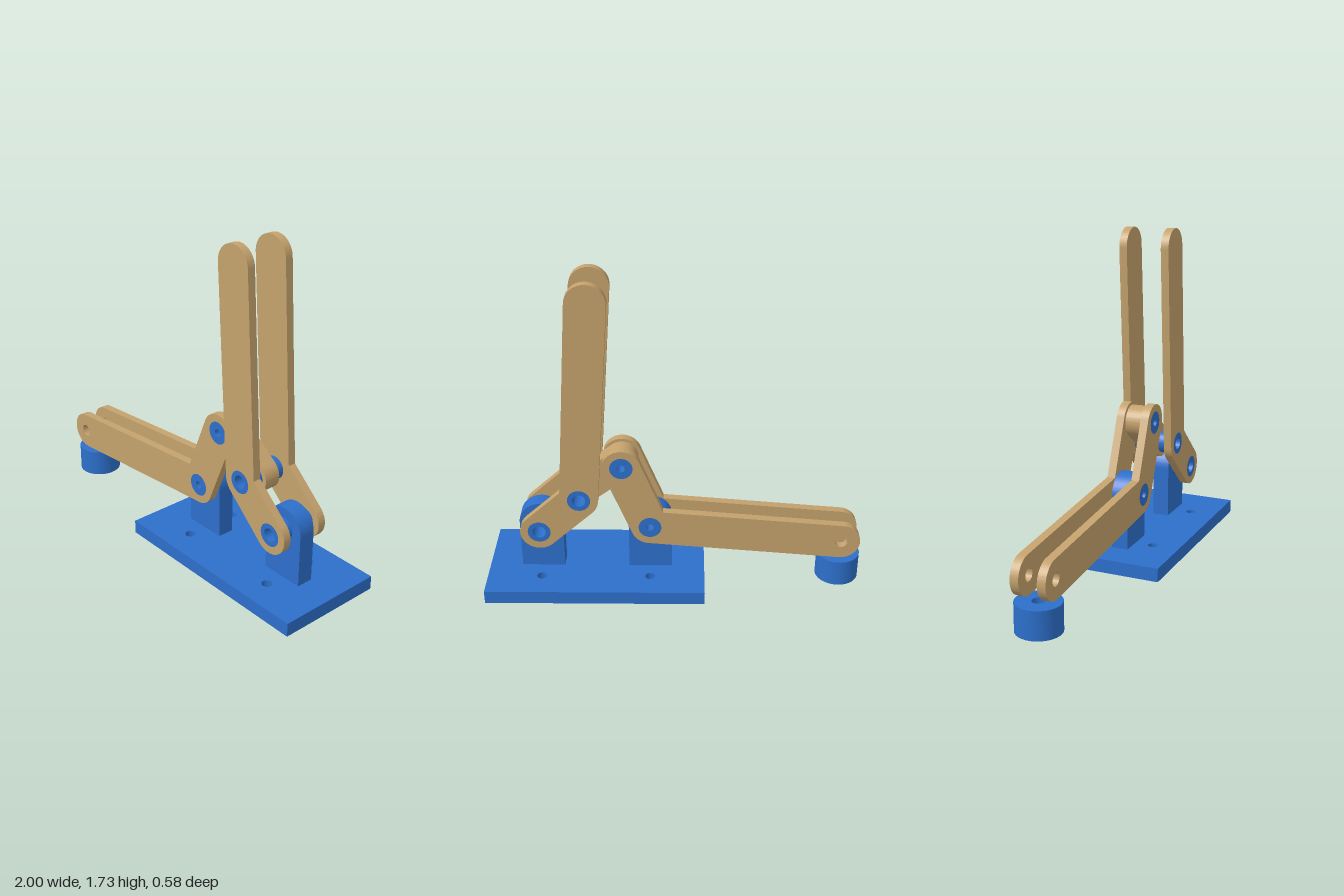
import * as THREE from 'three';
import { toCreasedNormals } from 'three/addons/utils/BufferGeometryUtils.js';

const PIN_R = 0.06;   // pin radius, also the bore of every bar
const PLATE_T = 0.073;
const POST_Z = 0.045; // half thickness of posts and link

// Pivot points in the side plane
const FOOT = [-0.885, 0.265], ELBOW = [0.13, 0.35], ARM_TOP = [0.275, 0.71];
const HANDLE_TOP = [0.42, 1.63], HANDLE_MID = [0.495, 0.545], HANDLE_BASE = [0.71, 0.35];

function addHole(shape, [x, y], r) {
  const hole = new THREE.Path();
  hole.absarc(x, y, r, 0, Math.PI * 2, true);
  shape.holes.push(hole);
}

function disc([x, y], r) {
  const s = new THREE.Shape();
  s.absarc(x, y, r, 0, Math.PI * 2, false);
  return s;
}

// Rounded bar along points that bend to the left: round outside, mitred inside
function barShape(points, r) {
  const q = Math.PI / 2;
  const angles = points.slice(1).map((p, i) => Math.atan2(p[1] - points[i][1], p[0] - points[i][0]));
  const last = points.length - 1;
  const s = new THREE.Shape();
  s.absarc(...points[0], r, angles[0] + q, angles[0] + 3 * q, false);
  for (let i = 1; i < last; i++) s.absarc(...points[i], r, angles[i - 1] - q, angles[i] - q, false);
  s.absarc(...points[last], r, angles[last - 1] - q, angles[last - 1] + q, false);
  for (let i = last - 1; i > 0; i--) {
    const mid = (angles[i - 1] + angles[i]) / 2 + q;
    const d = r / Math.cos((angles[i] - angles[i - 1]) / 2);
    s.lineTo(points[i][0] + d * Math.cos(mid), points[i][1] + d * Math.sin(mid));
  }
  s.closePath();
  return s;
}

// Extrude a shape between two depths with crisp rims and smooth round sides
function slab(shape, from, to) {
  const g = new THREE.ExtrudeGeometry(shape, { depth: to - from, bevelEnabled: false, curveSegments: 32 });
  g.translate(0, 0, from);
  return toCreasedNormals(g, 0.5);
}

export function createModel() {
  const model = new THREE.Group();
  model.name = 'toggleClamp';
  const blue = new THREE.MeshStandardMaterial({ color: 0x2d6fcb });
  blue.name = 'blue';
  const tan = new THREE.MeshStandardMaterial({ color: 0xc4a26d });
  tan.name = 'tan';

  const add = (name, geometry, material) => {
    const mesh = new THREE.Mesh(geometry, material);
    mesh.name = name;
    model.add(mesh);
    return mesh;
  };

  // Base plate with four screw holes
  const plate = new THREE.Shape();
  plate.moveTo(-0.16, -0.29);
  plate.lineTo(1, -0.29);
  plate.lineTo(1, 0.29);
  plate.lineTo(-0.16, 0.29);
  plate.closePath();
  for (const x of [ELBOW[0], HANDLE_BASE[0]])
    for (const z of [-0.145, 0.145]) addHole(plate, [x, z], 0.027);
  add('basePlate', slab(plate, 0, PLATE_T).rotateX(-Math.PI / 2), blue);

  // Round-topped posts
  const post = (name, [x, y]) => {
    const r = 0.115;
    const s = new THREE.Shape();
    s.moveTo(x - r, PLATE_T);
    s.lineTo(x + r, PLATE_T);
    s.absarc(x, y, r, 0, Math.PI, false);
    s.closePath();
    addHole(s, [x, y], PIN_R);
    add(name, slab(s, -POST_Z, POST_Z), blue);
  };
  post('armPost', ELBOW);
  post('handlePost', HANDLE_BASE);

  // Pressing foot
  const foot = disc([0, 0], 0.115);
  addHole(foot, [0, 0], 0.033);
  add('foot', slab(foot, 0, 0.146).rotateX(-Math.PI / 2).translate(FOOT[0], 0, 0), blue);

  // Paired arm and handle bars
  const arm = barShape([FOOT, ELBOW, ARM_TOP], 0.1);
  addHole(arm, FOOT, 0.033);
  addHole(arm, ELBOW, PIN_R);
  addHole(arm, ARM_TOP, PIN_R);
  const handle = barShape([HANDLE_TOP, HANDLE_MID, HANDLE_BASE], 0.1);
  addHole(handle, HANDLE_MID, PIN_R);
  addHole(handle, HANDLE_BASE, PIN_R);
  for (const [name, shape, inner, outer] of [['arm', arm, 0.047, 0.091], ['handle', handle, 0.096, 0.139]]) {
    add(name + 'Front', slab(shape, inner, outer), tan);
    add(name + 'Back', slab(shape, -outer, -inner), tan);
  }

  // Centre link joining arm and handle
  const link = barShape([ARM_TOP, HANDLE_MID], 0.085);
  addHole(link, ARM_TOP, PIN_R);
  addHole(link, HANDLE_MID, PIN_R);
  add('link', slab(link, -POST_Z, POST_Z), tan);

  // Hollow pins
  const pins = [
    ['elbowPin', ELBOW, 0.02, 0.091],
    ['armTopPin', ARM_TOP, 0.02, 0.091],
    ['handleMidPin', HANDLE_MID, 0.035, 0.139],
    ['handleBasePin', HANDLE_BASE, 0.035, 0.139],
  ];
  for (const [name, centre, bore, half] of pins) {
    const s = disc(centre, PIN_R);
    addHole(s, centre, bore);
    add(name, slab(s, -half, half), blue);
  }

  return model;
}
